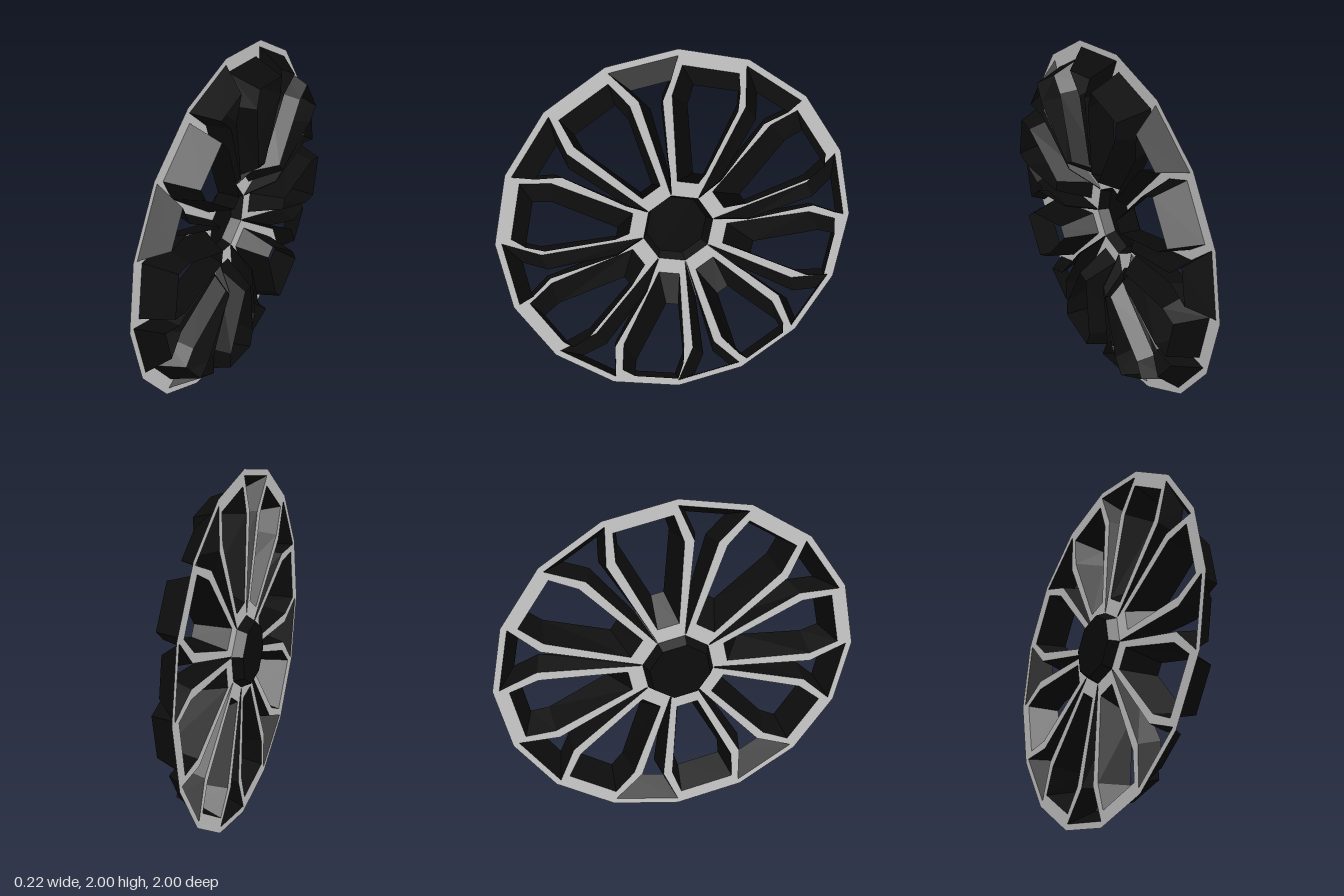
import * as THREE from 'three';

const FACE = -0.06; // depth of the flat face plate
const STEP = Math.PI / 4;

// Half outlines as [radius, sideways]: edge on the face plate, then edge at the back of the wall
const petal = {
  angle: Math.PI / 16 * 1, depth: 0.11,
  face: [[0.27, 0.06], [0.735, 0.18], [0.9, 0.157]],
  back: [[0.38, 0.035], [0.74, 0.138], [0.842, 0.127]],
};
const gap = {
  angle: -Math.PI / 16, depth: 0.06,
  face: [[0.207, 0.003], [0.76, 0.064], [0.946, 0.188]],
  back: [[0.37, 0.003], [0.745, 0.028], [0.863, 0.106]],
};

// Mirror a half outline and turn it to its place on the wheel
function outline(half, angle) {
  const loop = [...half, ...half.map(([r, t]) => [r, -t]).reverse()];
  const s = Math.sin(angle), c = Math.cos(angle);
  return loop.map(([r, t]) => new THREE.Vector2(r * s + t * c, r * c - t * s));
}

function polygon(radius, sides, offset) {
  return Array.from({ length: sides }, (_, i) => {
    const a = offset + (i / sides) * Math.PI * 2;
    return new THREE.Vector2(radius * Math.sin(a), radius * Math.cos(a));
  });
}

// Flat-faced wall joining two matching loops at different depths
function wall(a, za, b, zb) {
  const pos = [];
  a.forEach((p, i) => {
    const j = (i + 1) % a.length;
    const A = [p.x, p.y, za], B = [a[j].x, a[j].y, za];
    const C = [b[j].x, b[j].y, zb], D = [b[i].x, b[i].y, zb];
    pos.push(...A, ...B, ...C, ...A, ...C, ...D);
  });
  const g = new THREE.BufferGeometry();
  g.setAttribute('position', new THREE.Float32BufferAttribute(pos, 3));
  g.computeVertexNormals();
  return g;
}

export function createModel() {
  const silver = new THREE.MeshStandardMaterial({ color: 0xcccccc, side: THREE.DoubleSide, flatShading: true });
  const black = new THREE.MeshStandardMaterial({ color: 0x0c0c0c, side: THREE.DoubleSide, flatShading: true });
  const wheel = new THREE.Group();
  wheel.name = 'wheelRim';
  const add = (geometry, material, name) => {
    const mesh = new THREE.Mesh(geometry, material);
    mesh.name = name;
    wheel.add(mesh);
    return mesh;
  };

  // Face plate: sixteen-sided rim and spokes, cut by every opening
  const plate = new THREE.Shape(polygon(1, 16, 0));
  const hubLoop = polygon(0.2, 8, -Math.PI / 16);
  plate.holes.push(new THREE.Path(hubLoop));

  // Tapered walls behind the wide and narrow openings
  for (const [name, part] of [['petalWall', petal], ['gapWall', gap]]) {
    for (let i = 0; i < 8; i++) {
      const angle = part.angle + i * STEP;
      const front = outline(part.face, angle);
      plate.holes.push(new THREE.Path(front));
      add(wall(front, FACE, outline(part.back, angle), part.depth), black, name);
    }
  }
  add(new THREE.ShapeGeometry(plate), silver, 'facePlate').position.z = FACE;

  // Raised octagonal hub cap
  const capLoop = polygon(0.173, 8, -Math.PI / 16);
  add(wall(hubLoop, FACE, capLoop, -0.115), black, 'hubSide');
  add(new THREE.ShapeGeometry(new THREE.Shape(capLoop)), black, 'hubCap').position.z = -0.115;

  // Turn the axle along x and stand the wheel on the ground
  wheel.rotation.y = Math.PI / 2;
  wheel.position.y = 1;
  const model = new THREE.Group();
  model.name = 'wheel';
  model.add(wheel);
  return model;
}
